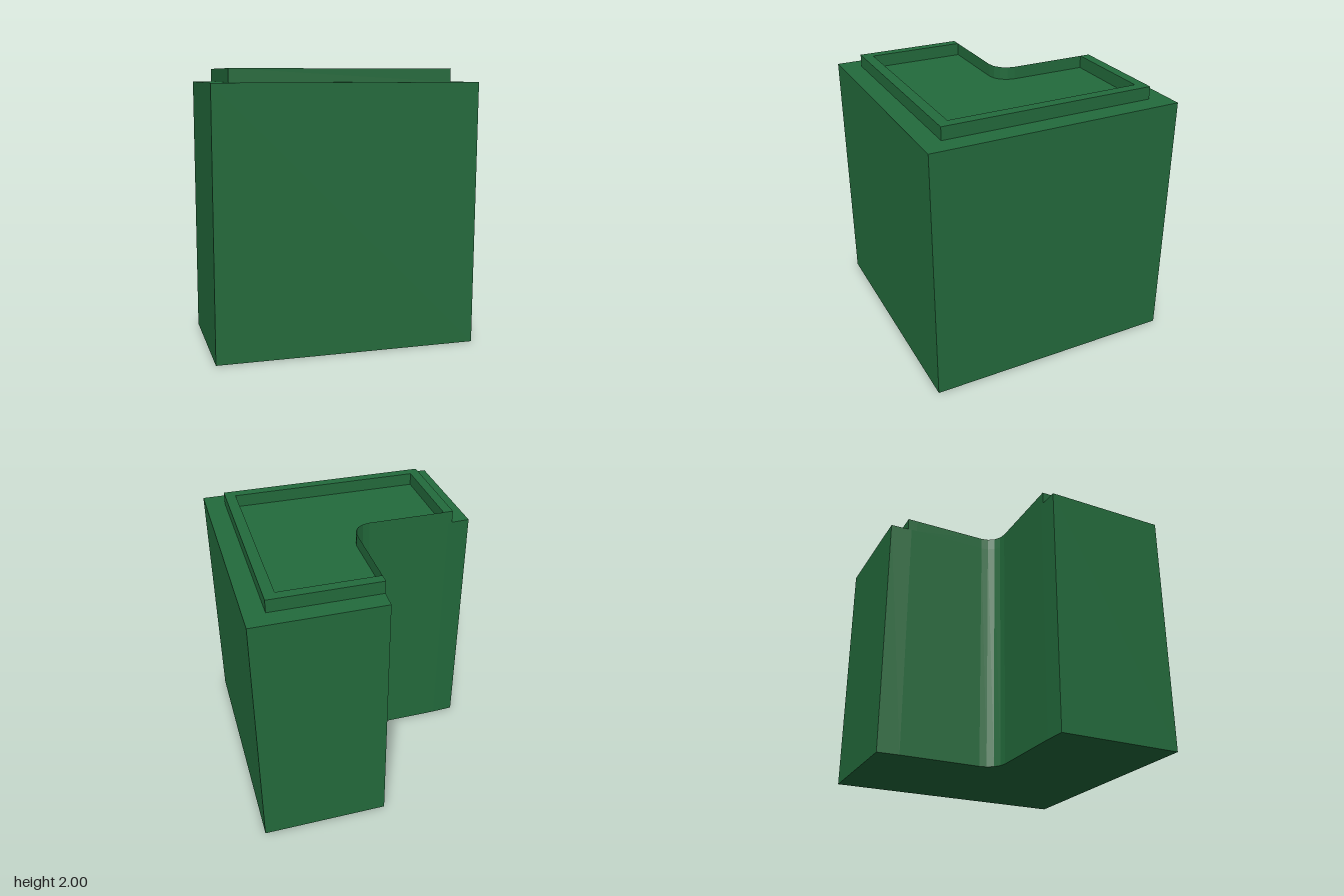
import * as THREE from 'three';

const BODY_TOP = 1.905, RIM_TOP = 2, EDGE = 0.95, IN = -0.007;

// Extrude a plan outline of [x, z] points downward from the given top height
function slab(points, top, depth) {
  const shape = new THREE.Shape(points.map(([x, z]) => new THREE.Vector2(x, z)));
  const geo = new THREE.ExtrudeGeometry(shape, { depth, bevelEnabled: false });
  return geo.rotateX(Math.PI / 2).translate(0, top, 0);
}

export function createModel() {
  const group = new THREE.Group();
  const green = new THREE.MeshStandardMaterial({ color: 0x236b3c, side: THREE.DoubleSide });
  green.name = 'green';
  const add = (name, geo) => {
    const mesh = new THREE.Mesh(geo, green);
    mesh.name = name;
    group.add(mesh);
  };

  // Filleted inner corner of the L, from the back wing to the side wing
  const fillet = [];
  const r = 0.15 + IN;
  for (let i = 0; i <= 4; i++) {
    const a = (i / 4) * Math.PI / 2;
    fillet.push([-0.15 + r * Math.cos(a), -0.15 + r * Math.sin(a)]);
  }

  // Solid L-shaped block
  add('body', slab([
    [0, -EDGE], [IN, -0.78], ...fillet, [-0.78, IN], [-EDGE, 0],
    [-EDGE, EDGE], [EDGE, EDGE], [EDGE, -EDGE],
  ], BODY_TOP, BODY_TOP));

  // Raised rim set in from the outer sides
  add('rim', slab([
    [IN, -0.81], [0.8, -0.81], [0.8, 0.8], [-0.81, 0.8], [-0.81, IN],
    [-0.735, IN], [-0.735, 0.72], [0.72, 0.72], [0.72, -0.735], [IN, -0.735],
  ], RIM_TOP, RIM_TOP - BODY_TOP));

  // Thin lip closing the rim along the inner corner
  const path = [[IN, -0.735], ...fillet, [-0.735, IN]];
  const lip = new THREE.PlaneGeometry(1, 1, path.length - 1, 1);
  const pos = lip.attributes.position;
  for (let i = 0; i < pos.count; i++) {
    const [x, z] = path[i % path.length];
    pos.setXYZ(i, x, i < path.length ? RIM_TOP : BODY_TOP, z);
  }
  const flatLip = lip.toNonIndexed();
  flatLip.computeVertexNormals();
  add('innerLip', flatLip);

  return group;
}
